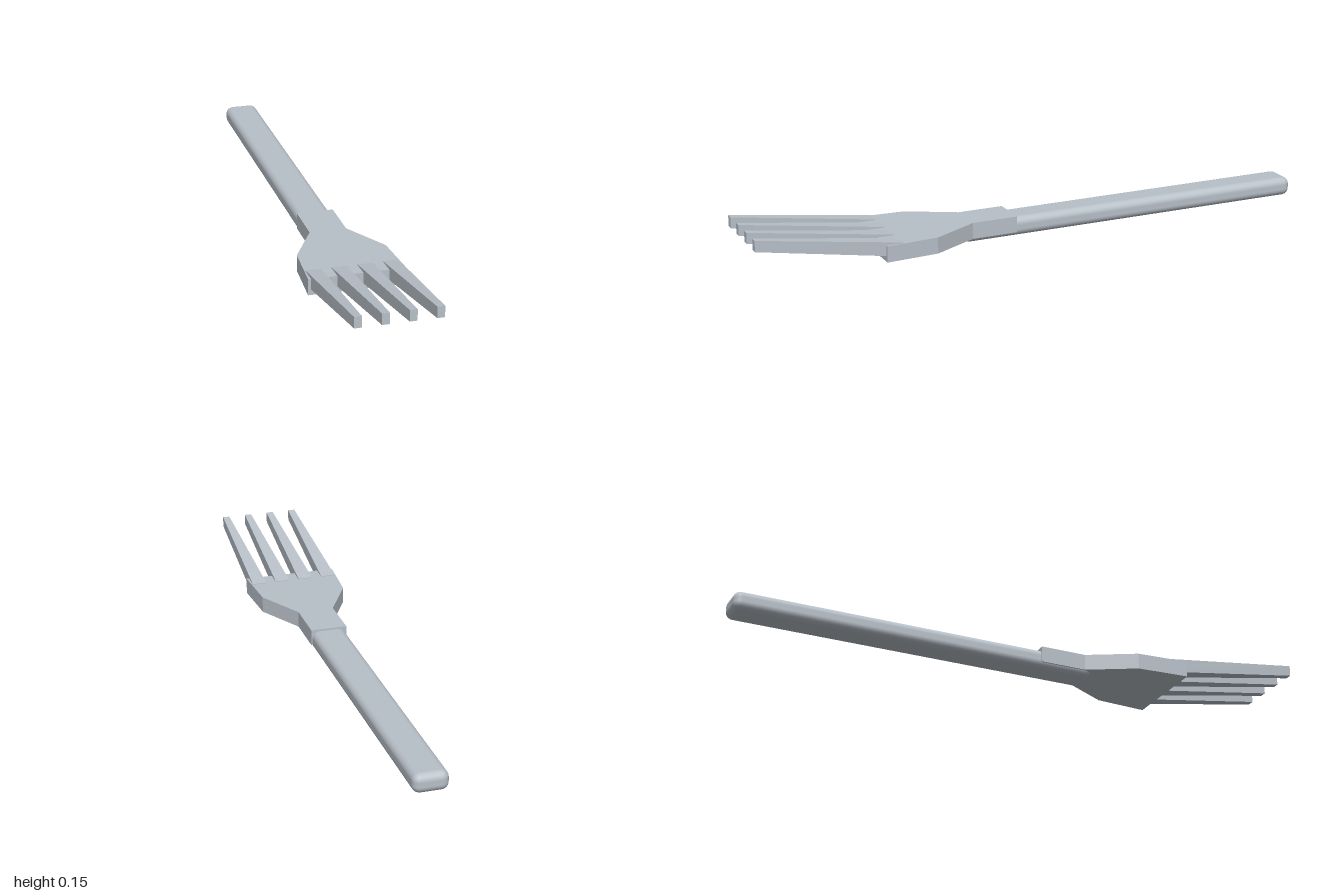
import * as THREE from 'three';
import { RoundedBoxGeometry } from 'three/addons/geometries/RoundedBoxGeometry.js';

const steel = new THREE.MeshStandardMaterial({ color: 0xb8c0c8 });
steel.name = 'steel';

function addPart(group, name, geometry) {
  const mesh = new THREE.Mesh(geometry, steel);
  mesh.name = name;
  group.add(mesh);
  return mesh;
}

// Tapered prong: a box whose ends are reshaped into two rectangles
function tineGeometry() {
  const base = { z: 0.51, half: 0.025, low: 0.026, high: 0.074 };
  const tip = { z: 1.0, half: 0.012, low: 0.11, high: 0.147 };
  const geometry = new THREE.BoxGeometry(1, 1, 1);
  const p = geometry.attributes.position;
  for (let i = 0; i < p.count; i++) {
    const end = p.getZ(i) > 0 ? tip : base;
    p.setXYZ(i, Math.sign(p.getX(i)) * end.half, p.getY(i) > 0 ? end.high : end.low, end.z);
  }
  geometry.computeVertexNormals();
  return geometry;
}

// Flat head: mirrored outline given as [z, half width], extruded upwards
function headGeometry() {
  const side = [[0.07, 0.062], [0.23, 0.062], [0.39, 0.148], [0.57, 0.16]];
  const right = side.map(([z, x]) => new THREE.Vector2(x, -z));
  const left = side.map(([z, x]) => new THREE.Vector2(-x, -z)).reverse();
  const geometry = new THREE.ExtrudeGeometry(new THREE.Shape([...right, ...left]), {
    depth: 0.055,
    bevelEnabled: false,
  });
  geometry.rotateX(-Math.PI / 2);
  geometry.translate(0, 0.017, 0);
  return geometry;
}

export function createModel() {
  const group = new THREE.Group();
  group.name = 'fork';

  // Long rounded handle, running under the head
  const handle = addPart(group, 'handle', new RoundedBoxGeometry(0.116, 0.065, 1.26, 3, 0.025));
  handle.position.set(0, 0.0325, -0.37);

  addPart(group, 'head', headGeometry());

  // Four upswept tines
  const tine = tineGeometry();
  for (let i = 0; i < 4; i++) {
    addPart(group, `tine${i + 1}`, tine).position.x = (i - 1.5) * 0.0848;
  }
  return group;
}
